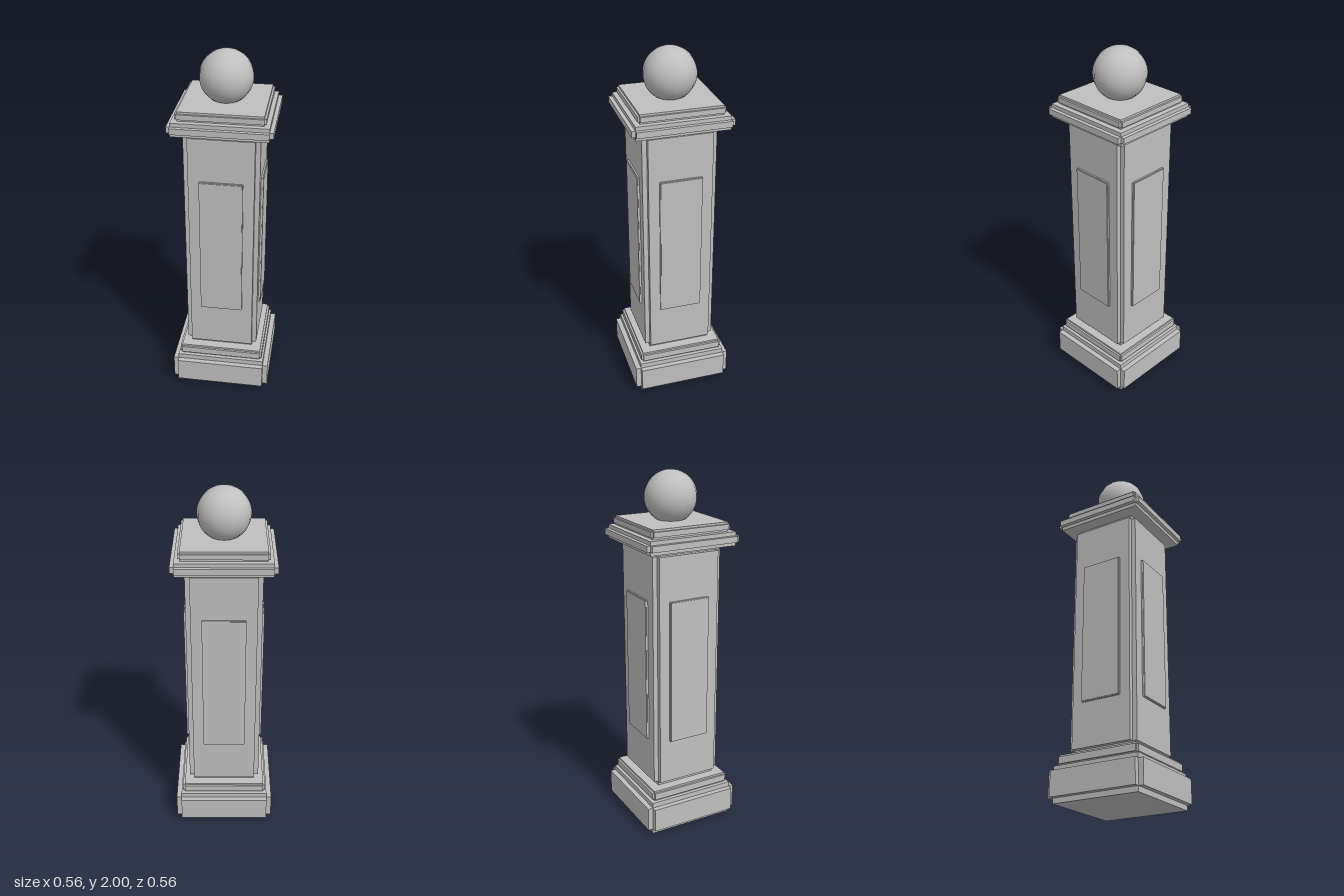
import * as THREE from 'three';

const stone = new THREE.MeshStandardMaterial({ color: 0xbfbfbf });
stone.name = 'grey stone';

// Block with square rebates along every edge: three crossed boxes, each full size on one axis
function rebatedBlock(name, halfX, halfZ, y0, y1, notch, notchY = notch) {
  const group = new THREE.Group();
  group.name = name;
  const w = halfX * 2, d = halfZ * 2, h = y1 - y0, n = notch * 2;
  const sizes = [
    [w, h - 2 * notchY, d - n],
    [w - n, h - 2 * notchY, d],
    [w - n, h, d - n],
  ];
  for (const size of sizes) {
    const mesh = new THREE.Mesh(new THREE.BoxGeometry(...size), stone);
    mesh.name = name + 'Block';
    mesh.position.y = (y0 + y1) / 2;
    group.add(mesh);
  }
  return group;
}

export function createModel() {
  const pillar = new THREE.Group();
  pillar.name = 'gatePillar';

  // Stacked square courses: name, half width, bottom, top, rebate
  const courses = [
    ['plinth', 0.281, 0, 0.195, 0.029],
    ['baseMoulding', 0.242, 0.195, 0.255, 0.011],
    ['shaft', 0.203, 0.255, 1.615, 0.026],
    ['capital', 0.273, 1.615, 1.69, 0.021],
    ['capSlab', 0.233, 1.69, 1.74, 0.011],
  ];
  for (const [name, half, y0, y1, notch] of courses) {
    pillar.add(rebatedBlock(name, half, half, y0, y1, notch));
  }

  // Raised panel on each side of the shaft
  for (let i = 0; i < 4; i++) {
    const side = new THREE.Group();
    side.name = 'panelSide';
    const panel = rebatedBlock('panel', 0.118, 0.019, 0.53, 1.344, 0.004);
    panel.position.z = 0.197;
    side.add(panel);
    side.rotation.y = i * Math.PI / 2;
    pillar.add(side);
  }

  // Ball finial
  const ball = new THREE.Mesh(new THREE.SphereGeometry(0.142, 16, 24), stone);
  ball.name = 'ballFinial';
  ball.position.y = 1.858;
  pillar.add(ball);

  return pillar;
}
